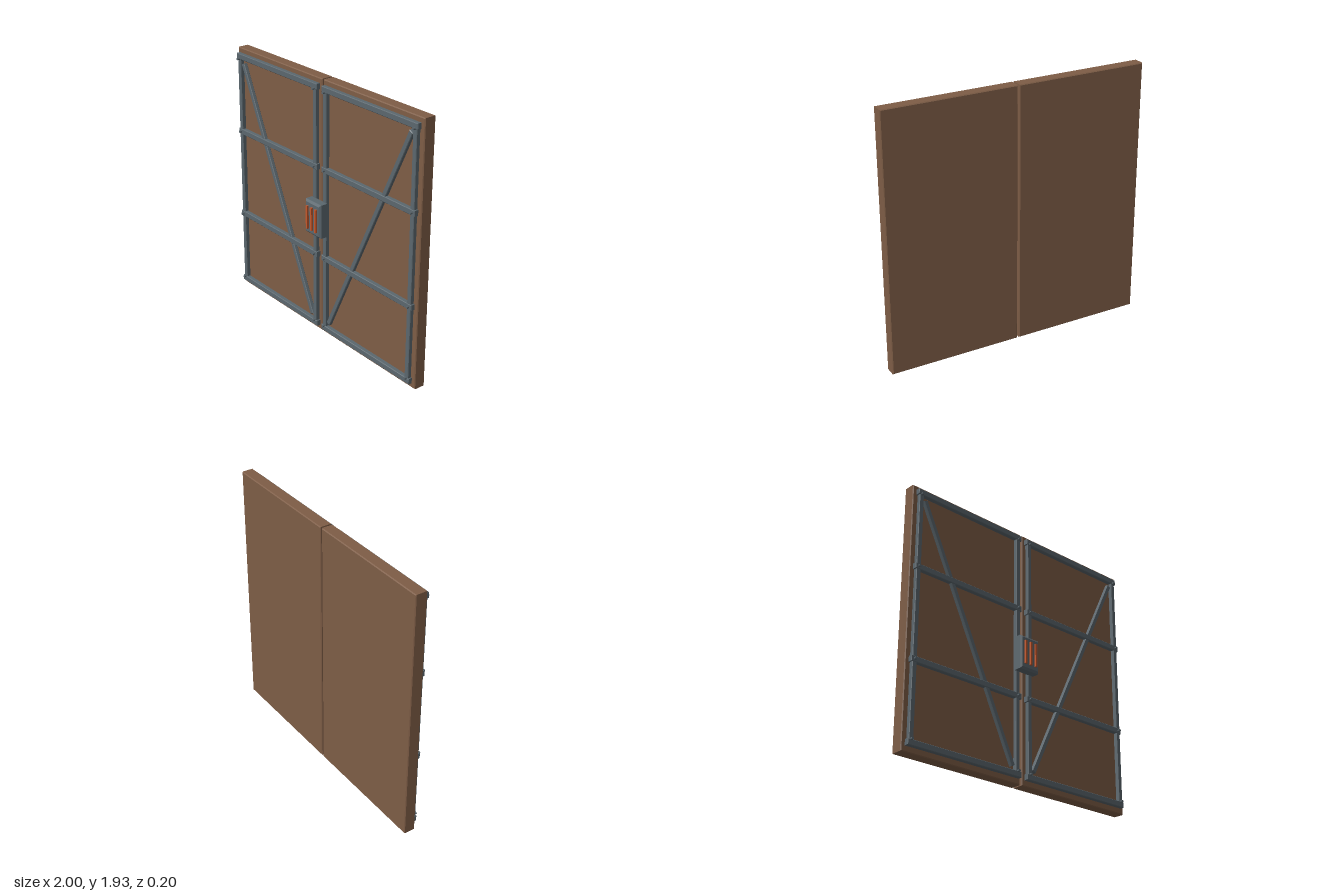
import * as THREE from 'three';

const mat = (name, color) => {
  const m = new THREE.MeshStandardMaterial({ color });
  m.name = name;
  return m;
};

// Box with chamfered edges, centred on the origin
function chamferBox(w, h, d, c) {
  const x = w / 2 - c, y = h / 2 - c;
  const shape = new THREE.Shape([
    new THREE.Vector2(-x, -y), new THREE.Vector2(x, -y),
    new THREE.Vector2(x, y), new THREE.Vector2(-x, y),
  ]);
  const g = new THREE.ExtrudeGeometry(shape, {
    depth: d - 2 * c, bevelEnabled: true, bevelSize: c, bevelThickness: c, bevelSegments: 1,
  });
  return g.translate(0, 0, c - d / 2);
}

export function createModel() {
  const wood = mat('brown panel', 0x7e5d46);
  const steel = mat('grey steel', 0x5b676e);
  const orange = mat('orange strip', 0xc4572b);

  const model = new THREE.Group();
  model.name = 'doubleGate';

  const add = (parent, name, geometry, material, x, y, z) => {
    const mesh = new THREE.Mesh(geometry, material);
    mesh.name = name;
    mesh.position.set(x, y, z);
    parent.add(mesh);
    return mesh;
  };

  const railHeights = [0.06, 0.625, 1.3, 1.88];
  const rivetHeights = [0.08, 0.625, 1.3, 1.862];
  const postX = [0.056, 0.946];

  for (const side of [1, -1]) {
    const door = new THREE.Group();
    door.name = side > 0 ? 'leftDoor' : 'rightDoor';
    model.add(door);

    // Door slab
    add(door, 'panel', chamferBox(0.993, 1.935, 0.09, 0.006), wood, side * 0.5035, 0.9675, -0.055);

    // Horizontal rails
    for (const y of railHeights)
      add(door, 'rail', chamferBox(0.948, 0.042, 0.035, 0.004), steel, side * 0.5, y, 0.0075);

    // Upright posts
    for (const x of postX)
      add(door, 'post', chamferBox(0.036, 1.84, 0.032, 0.004), steel, side * x, 0.97, 0.006);

    // Diagonal brace from the lower inner to the upper outer corner
    const dx = 0.813, dy = 1.72;
    const brace = add(door, 'brace', chamferBox(0.034, Math.hypot(dx, dy), 0.029, 0.004), steel,
      side * 0.5015, 0.97, 0.0045);
    brace.rotation.z = -side * Math.atan2(dx, dy);

    // Rivets where rails and posts cross
    for (const x of postX)
      for (const y of rivetHeights) {
        const rivet = add(door, 'rivet', new THREE.CylinderGeometry(0.009, 0.009, 0.025, 8), steel,
          side * x, y, 0.0285);
        rivet.rotation.x = Math.PI / 2;
      }
  }

  // Lock box over the centre gap, with three glowing strips
  const lock = new THREE.Group();
  lock.name = 'lock';
  model.add(lock);
  add(lock, 'lockBox', chamferBox(0.172, 0.254, 0.082, 0.014), steel, 0, 0.934, 0.045);
  for (const x of [-0.047, 0, 0.047])
    add(lock, 'lockStrip', new THREE.BoxGeometry(0.017, 0.175, 0.025), orange, x, 0.934, 0.0875);

  return model;
}
